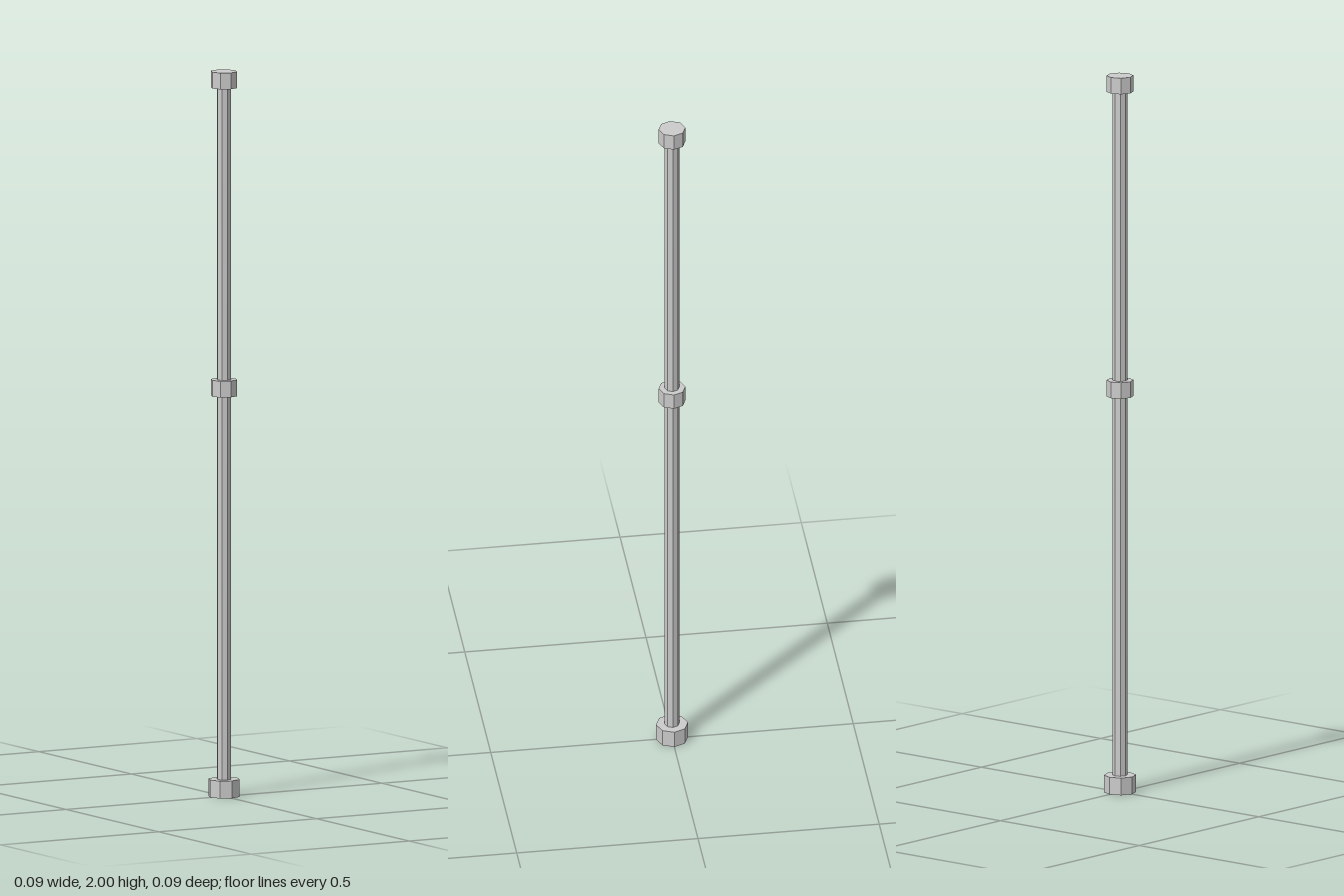
import * as THREE from 'three';

export function createModel() {
  const group = new THREE.Group();
  const material = new THREE.MeshStandardMaterial({ color: 0xcccccc, flatShading: true });

  // Upright eight-sided cylinder spanning y0 to y1, corners on the axes
  const section = (name, radius, y0, y1) => {
    const mesh = new THREE.Mesh(new THREE.CylinderGeometry(radius, radius, y1 - y0, 8), material);
    mesh.position.y = (y0 + y1) / 2;
    mesh.name = name;
    group.add(mesh);
  };

  section('base', 0.044, 0, 0.048);
  section('lowerPole', 0.02, 0.048, 1.105);
  section('middleCollar', 0.037, 1.105, 1.15);
  section('upperPole', 0.02, 1.15, 1.955);
  section('topCap', 0.037, 1.955, 2);

  return group;
}
